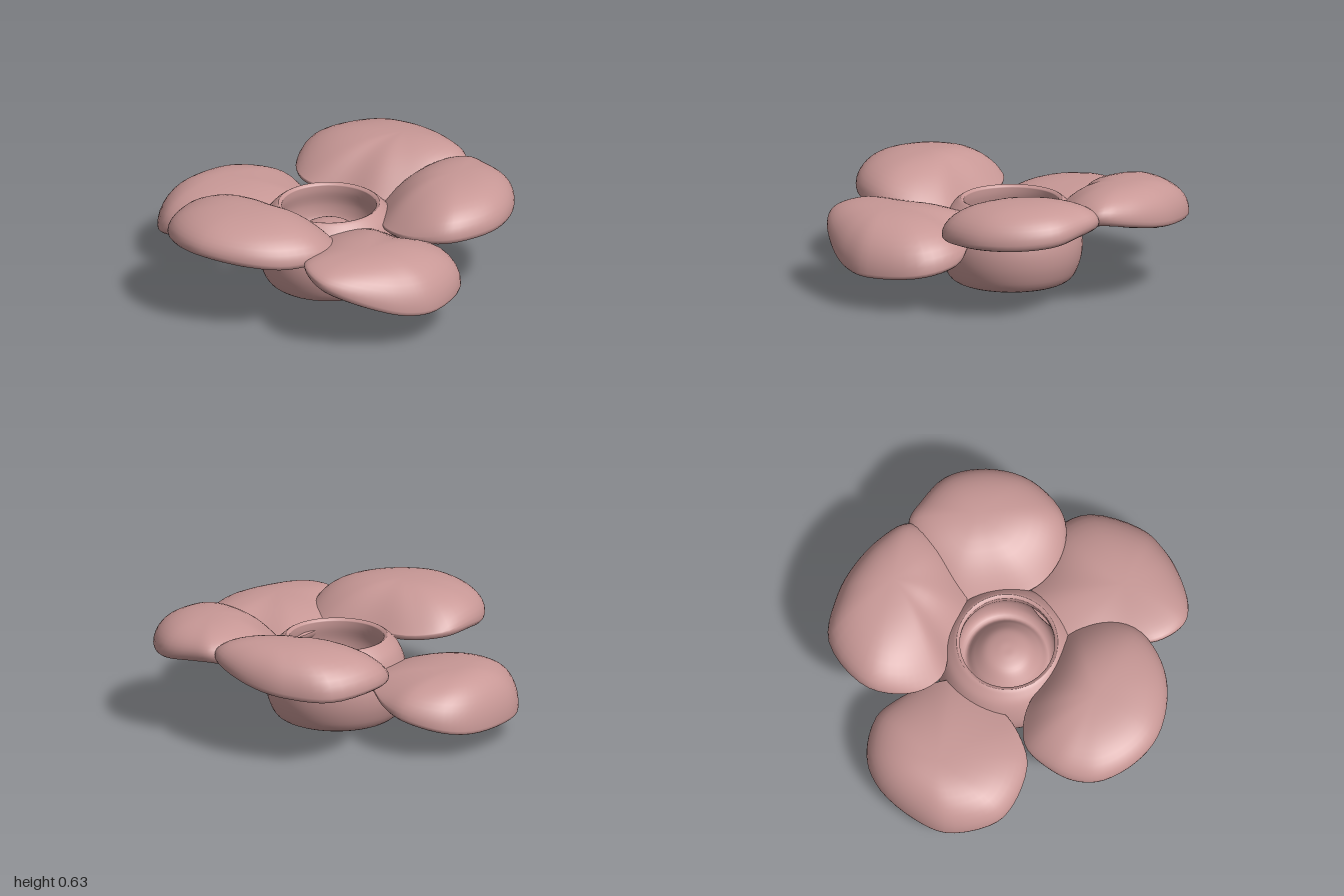
import * as THREE from 'three';
import { mergeVertices } from 'three/addons/utils/BufferGeometryUtils.js';

const material = new THREE.MeshStandardMaterial({ color: 0xc89896 });

// Puffed petal: a closed rim curve, a domed top and a hollow underside.
// The dome is full at the outer rim and slopes softly into the cup.
// rim: [x, y, z] points, clockwise from above; centre: [x, z], top and bottom heights.
function petal(name, rim, [cx, cz], top, bottom) {
  const SEG = 56, RINGS = 12;
  const curve = new THREE.CatmullRomCurve3(rim.map(p => new THREE.Vector3(...p)), true);
  const edge = Array.from({ length: SEG }, (_, j) => curve.getPoint(j / SEG));
  const pos = [], index = [];
  for (let i = 0; i <= 2 * RINGS; i++) {
    const r = Math.sin((i / RINGS) * Math.PI / 2);
    for (const e of edge) {
      const soft = 1 - THREE.MathUtils.smoothstep(Math.hypot(e.x, e.z), 0.35, 0.8);
      const y = i <= RINGS
        ? e.y + (top - e.y) * Math.max(0, 1 - r ** 2.6) ** (0.5 + 0.6 * soft)
        : e.y + (bottom - e.y) * (1 - r * r) - 0.13 * r ** 3 * Math.sqrt(Math.max(0, 1 - r * r));
      pos.push(cx + (e.x - cx) * r, y, cz + (e.z - cz) * r);
    }
  }
  for (let i = 0; i < 2 * RINGS; i++) {
    for (let j = 0; j < SEG; j++) {
      const k = (j + 1) % SEG;
      const a = i * SEG + j, b = i * SEG + k, c = a + SEG, d = b + SEG;
      if (i < 2 * RINGS - 1) index.push(a, d, c);
      if (i > 0) index.push(a, b, d);
    }
  }
  let geo = new THREE.BufferGeometry();
  geo.setAttribute('position', new THREE.Float32BufferAttribute(pos, 3));
  geo.setIndex(index);
  geo = mergeVertices(geo, 1e-5);
  geo.computeVertexNormals();
  const mesh = new THREE.Mesh(geo, material);
  mesh.name = name;
  return mesh;
}

// Hollow flower centre with a dimpled base and a rounded bump inside.
function cup() {
  const outer = new THREE.SplineCurve([
    [0, 0.06], [0.08, 0.065], [0.15, 0.035], [0.23, 0.01], [0.32, 0.035], [0.365, 0.12],
    [0.38, 0.22], [0.365, 0.32], [0.335, 0.4], [0.29, 0.45], [0.268, 0.465],
  ].map(p => new THREE.Vector2(...p))).getPoints(44);
  const inner = new THREE.SplineCurve([
    [0.252, 0.455], [0.255, 0.41], [0.272, 0.33], [0.262, 0.25], [0.22, 0.22],
    [0.18, 0.27], [0.12, 0.33], [0.05, 0.354], [0, 0.357],
  ].map(p => new THREE.Vector2(...p))).getPoints(36);
  const profile = [...outer, ...inner];
  profile.forEach(p => { p.x = Math.max(0, p.x); });
  const mesh = new THREE.Mesh(new THREE.LatheGeometry(profile, 48), material);
  mesh.name = 'flowerCup';
  mesh.position.set(0.02, 0, 0.01);
  return mesh;
}

export function createModel() {
  const group = new THREE.Group();
  group.name = 'flower';
  group.add(cup());

  // Low petal at the back, curling down at its tip
  group.add(petal('backPetal', [
    [-0.06, 0.15, -1], [0.2, 0.16, -0.96], [0.34, 0.19, -0.86], [0.41, 0.24, -0.67],
    [0.37, 0.27, -0.53], [0.28, 0.31, -0.4], [0.17, 0.33, -0.29], [-0.15, 0.33, -0.29],
    [-0.31, 0.33, -0.36], [-0.42, 0.3, -0.46], [-0.47, 0.24, -0.67], [-0.44, 0.21, -0.8],
    [-0.25, 0.16, -0.97],
  ], [-0.03, -0.74], 0.41, 0.3));

  // Raised petals on the +x side
  group.add(petal('backLeftPetal', [
    [0.21, 0.42, -0.33], [0.29, 0.43, -0.5], [0.51, 0.45, -0.61], [0.82, 0.43, -0.5],
    [0.92, 0.44, -0.27], [0.935, 0.46, -0.1], [0.9, 0.5, 0.1], [0.81, 0.53, 0.26],
    [0.6, 0.47, 0.28], [0.42, 0.41, 0.2], [0.31, 0.41, 0.05], [0.28, 0.41, -0.14],
  ], [0.69, -0.08], 0.64, 0.5));
  group.add(petal('frontLeftPetal', [
    [0.82, 0.52, 0.27], [0.83, 0.51, 0.4], [0.8, 0.48, 0.6], [0.65, 0.46, 0.76],
    [0.43, 0.45, 0.84], [0.19, 0.44, 0.79], [0.1, 0.43, 0.7], [0.05, 0.42, 0.54],
    [0.08, 0.41, 0.36], [0.23, 0.4, 0.2], [0.42, 0.4, 0.07], [0.66, 0.46, 0.13],
  ], [0.52, 0.48], 0.63, 0.48));

  // Drooping petal at the front, tilted sideways
  group.add(petal('frontRightPetal', [
    [-0.695, 0.41, 0.63], [-0.64, 0.44, 0.47], [-0.46, 0.42, 0.34], [-0.21, 0.41, 0.23],
    [0.05, 0.39, 0.28], [0.13, 0.34, 0.5], [0.2, 0.28, 0.7], [0.11, 0.24, 0.9],
    [-0.19, 0.22, 1], [-0.36, 0.24, 0.96], [-0.5, 0.29, 0.88], [-0.65, 0.37, 0.74],
  ], [-0.32, 0.62], 0.49, 0.34));

  // Raised petal on the -x side
  group.add(petal('rightPetal', [
    [-0.945, 0.48, 0], [-0.92, 0.47, -0.2], [-0.82, 0.45, -0.37], [-0.7, 0.44, -0.44],
    [-0.56, 0.45, -0.46], [-0.38, 0.44, -0.42], [-0.27, 0.42, -0.25], [-0.25, 0.42, 0],
    [-0.22, 0.41, 0.27], [-0.32, 0.42, 0.41], [-0.5, 0.44, 0.46], [-0.7, 0.44, 0.39],
    [-0.85, 0.46, 0.24],
  ], [-0.57, -0.02], 0.62, 0.48));

  return group;
}
